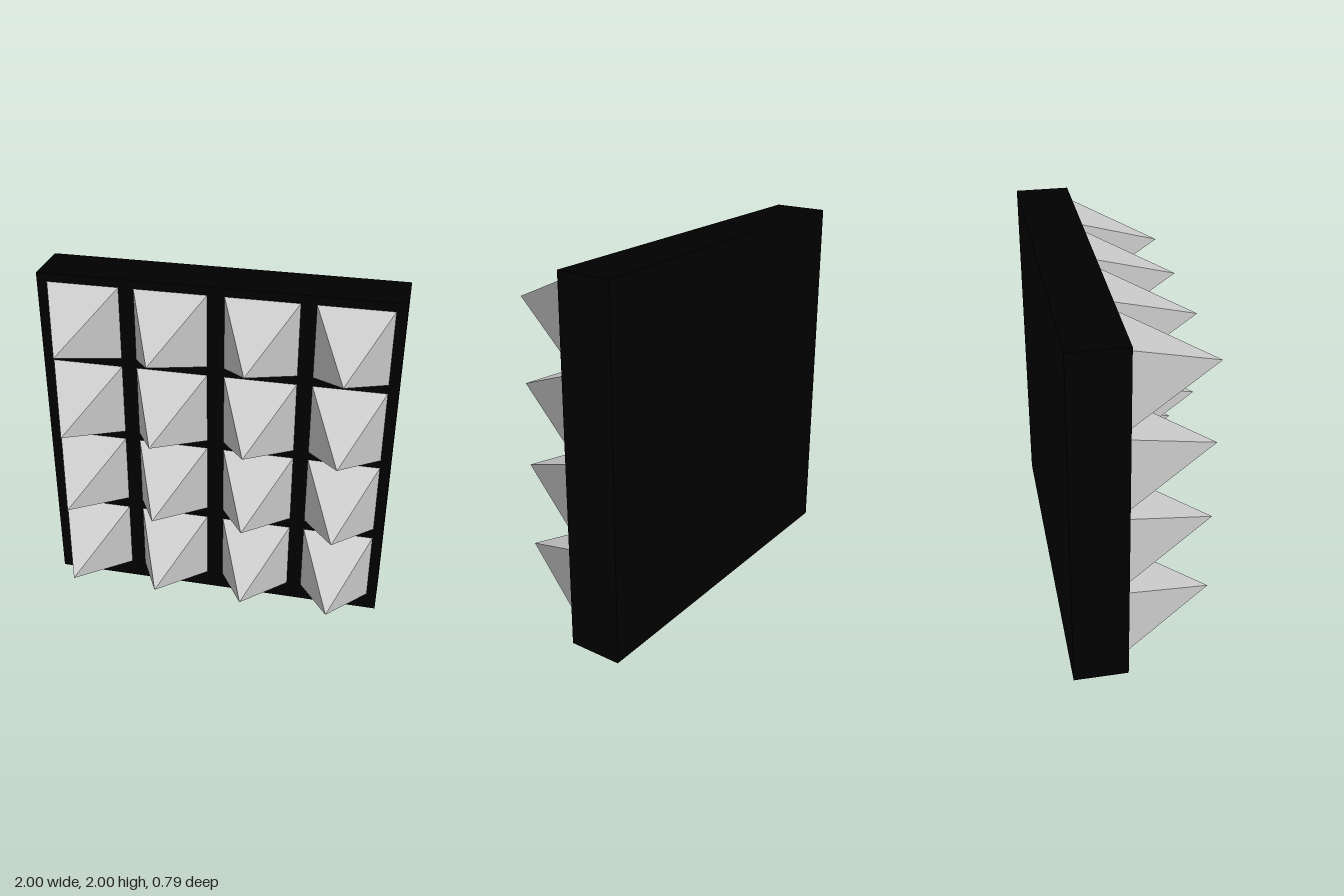
import * as THREE from 'three';

export function createModel() {
  const model = new THREE.Group();
  const black = new THREE.MeshStandardMaterial({ color: 0x000000 });
  const grey = new THREE.MeshStandardMaterial({ color: 0xcccccc, flatShading: true });
  const depth = 0.3, frontZ = -0.095, tipZ = 0.395;

  // Square backing board
  const board = new THREE.Mesh(new THREE.BoxGeometry(2, 2, depth), black);
  board.name = 'backingBoard';
  board.position.set(0, 1, frontZ - depth / 2);
  model.add(board);

  // Four-sided pyramid pointing forward, its open base flush with the board
  const height = tipZ - frontZ;
  const spike = new THREE.ConeGeometry(Math.SQRT1_2, height, 4, 1, true);
  spike.rotateY(Math.PI / 4);
  spike.rotateX(Math.PI / 2);
  spike.scale(0.405, 0.42, 1);

  // Grid of pyramids
  const columns = [-0.74, -0.25, 0.25, 0.74];
  const rows = [0.315, 0.8, 1.27, 1.742];
  const pyramids = new THREE.Group();
  pyramids.name = 'pyramids';
  rows.forEach((y, r) => columns.forEach((x, c) => {
    const pyramid = new THREE.Mesh(spike, grey);
    pyramid.name = `pyramidRow${r + 1}Column${c + 1}`;
    pyramid.position.set(x, y, frontZ + height / 2);
    pyramids.add(pyramid);
  }));
  model.add(pyramids);

  return model;
}
